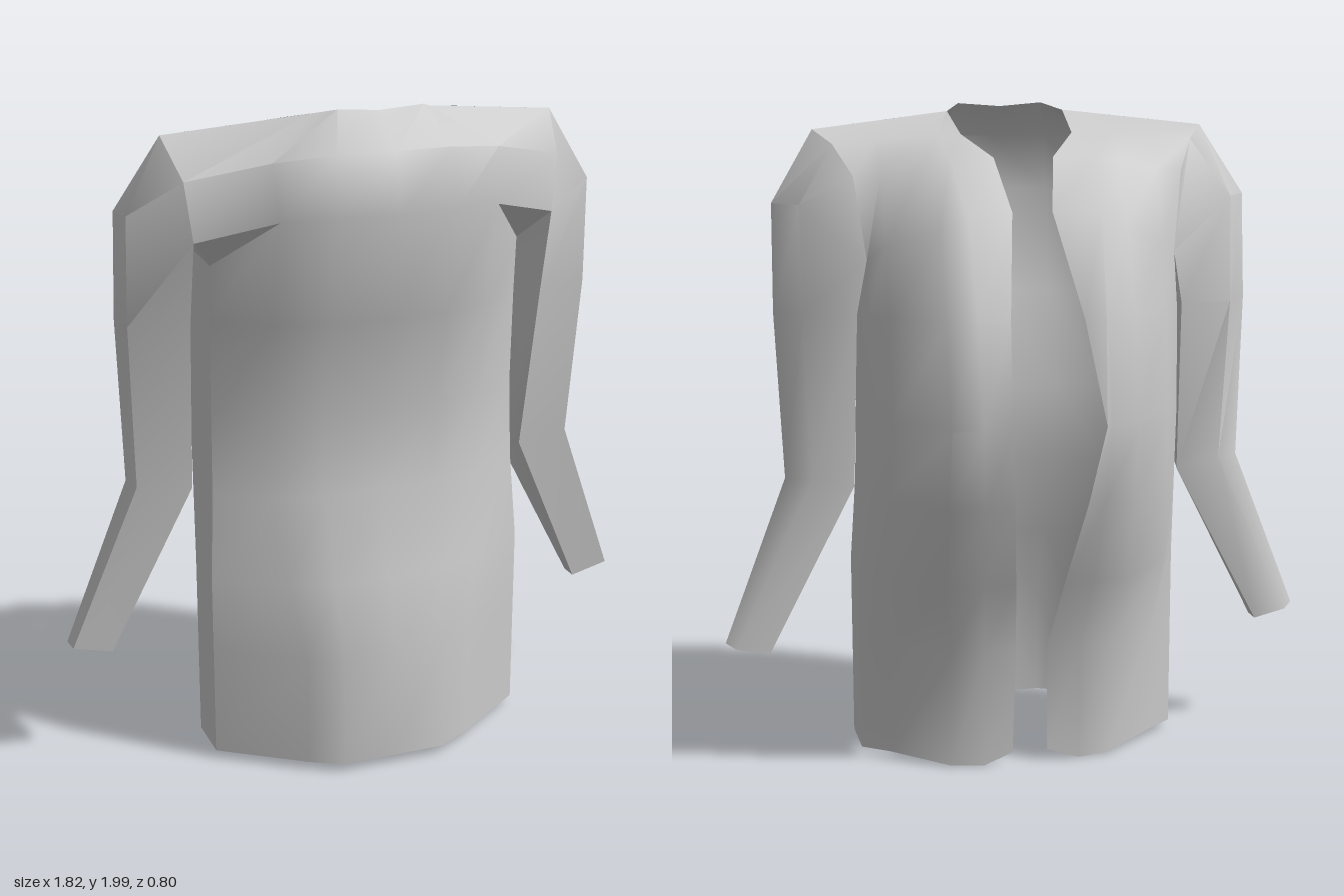
import * as THREE from 'three';
import { mergeGeometries, toCreasedNormals } from 'three/addons/utils/BufferGeometryUtils.js';

const material = new THREE.MeshStandardMaterial({ color: 0xcccccc, side: THREE.DoubleSide });

// Skin rows of [x, y, z] points, listed from bottom to top
function loft(rows) {
  const out = [];
  for (let j = 0; j + 1 < rows.length; j++) {
    for (let i = 0; i + 1 < rows[j].length; i++) {
      const a = rows[j][i], b = rows[j][i + 1], c = rows[j + 1][i + 1], d = rows[j + 1][i];
      out.push(...a, ...b, ...c, ...a, ...c, ...d);
    }
  }
  const g = new THREE.BufferGeometry();
  g.setAttribute('position', new THREE.Float32BufferAttribute(out, 3));
  return g;
}

const flip = ([x, y, z]) => [-x, y, z];
// Complete a half row that starts on the centre line
const full = (row) => [...row.slice(1).reverse().map(flip), ...row];
const flipAll = (rows) => rows.map((r) => r.map(flip).reverse());
const level = (y, pts) => pts.map(([x, z]) => [x, y, z]);

// Half rows of the body: centre front, round the side, to the fold and open edge at the back
const hem = level(0.03, [[0, .385], [.16, .385], [.26, .33], [.5, .16], [.5, 0], [.42, -.06], [.25, -.17], [.15, -.18], [.06, -.18]]);
hem[6][1] = 0.01;
hem[7][1] = 0.005;
hem[8][1] = 0.04;
const chest = [
  [0, 1.72, .403], [.18, 1.72, .385], [.33, 1.71, .33], [.48, 1.56, .15],
  [.47, 1.56, -.07], [.42, 1.6, -.11], [.28, 1.66, -.21], [.2, 1.69, -.215], [.06, 1.7, -.18],
];
const bodyRows = [
  hem,
  level(.37, [[0, .385], [.16, .385], [.26, .33], [.5, .16], [.5, 0], [.42, -.06], [.25, -.18], [.15, -.185], [.05, -.185]]),
  level(.6, [[0, .33], [.17, .33], [.3, .285], [.5, .16], [.5, 0], [.44, -.1], [.28, -.26], [.17, -.27], [.07, -.27]]),
  level(.86, [[0, .27], [.18, .27], [.33, .225], [.485, .14], [.485, -.06], [.43, -.16], [.28, -.32], [.18, -.35], [.09, -.35]]),
  level(1.1, [[0, .255], [.18, .25], [.33, .22], [.48, .13], [.47, -.12], [.42, -.19], [.28, -.37], [.19, -.38], [.11, -.4]]),
  level(1.4, [[0, .325], [.18, .315], [.33, .27], [.48, .14], [.475, -.09], [.42, -.15], [.28, -.3], [.19, -.31], [.09, -.29]]),
  chest,
];

// The two back edges hang differently: x of the right one, row by row
const rightEdge = [-.05, -.045, -.08, -.13, -.17, -.13, -.06];
const bodySkin = bodyRows.map((row, i) => {
  const r = full(row);
  r[0][0] = rightEdge[i];
  return r;
});

// Front yoke, from the chest to the neck and shoulder line
const shoulderTip = [.6, 1.93, .1];
const underarm = [.55, 1.65, .235];
const frontYoke = [
  [...chest.slice(0, 3), underarm],
  [[0, 1.89, .355], [.17, 1.89, .35], [.34, 1.87, .3], [.57, 1.82, .22]],
  [[0, 1.985, .24], [.13, 1.995, .245], [.18, 1.975, .17], shoulderTip],
];

// Gusset below the armhole, from the chest edge to the sleeve
const gusset = [[chest[3], chest[3], chest[4]], [chest[2], underarm, underarm]];

// Back yoke of one side, from the armhole to the open neck edge
const backYoke = [
  chest.slice(4),
  [[.5, 1.8, -.03], [.42, 1.81, -.04], [.3, 1.84, -.06], [.22, 1.85, -.07], [.09, 1.85, -.07]],
  [[.55, 1.89, .04], [.42, 1.9, .04], [.3, 1.91, .04], [.24, 1.91, .03], [.17, 1.915, .02]],
  [shoulderTip, [.46, 1.945, .123], [.32, 1.96, .147], [.25, 1.968, .158], [.18, 1.975, .17]],
];

// Sleeve rings from the wrist up: front inner, front outer, outer, back outer, back inner
const sleeveRings = [
  [[.78, .36, .035], [.9, .39, .035], [.91, .4, 0], [.88, .385, -.025], [.78, .36, -.02]],
  [[.535, .88, .1], [.7, .9, .09], [.715, .9, .02], [.64, .9, -.03], [.51, .87, -.01]],
  [[.55, 1.4, .18], [.72, 1.4, .13], [.735, 1.4, .04], [.66, 1.4, -.05], [.5, 1.4, -.06]],
  [underarm, [.715, 1.72, .14], [.73, 1.72, .06], [.66, 1.72, -.03], chest[4]],
];
const sleeveCap = [
  sleeveRings[3],
  [[.57, 1.82, .22], shoulderTip, shoulderTip, [.55, 1.89, .04], [.5, 1.8, -.03]],
];

export function createModel() {
  const group = new THREE.Group();
  const add = (name, parts) => {
    const mesh = new THREE.Mesh(toCreasedNormals(mergeGeometries(parts), 0.85), material);
    mesh.name = name;
    group.add(mesh);
  };

  // Body with its yoke, open along the back
  add('jacketBody', [
    loft(bodySkin), loft(frontYoke.map(full)),
    loft(backYoke), loft(flipAll(backYoke)),
  ]);
  add('leftGusset', [loft(gusset)]);
  add('rightGusset', [loft(flipAll(gusset))]);

  // Sleeves: closed tubes below the shoulder caps
  const tube = sleeveRings.map((r) => [...r, r[0]]);
  add('leftSleeve', [loft(tube), loft(sleeveCap)]);
  add('rightSleeve', [loft(flipAll(tube)), loft(flipAll(sleeveCap))]);
  return group;
}
